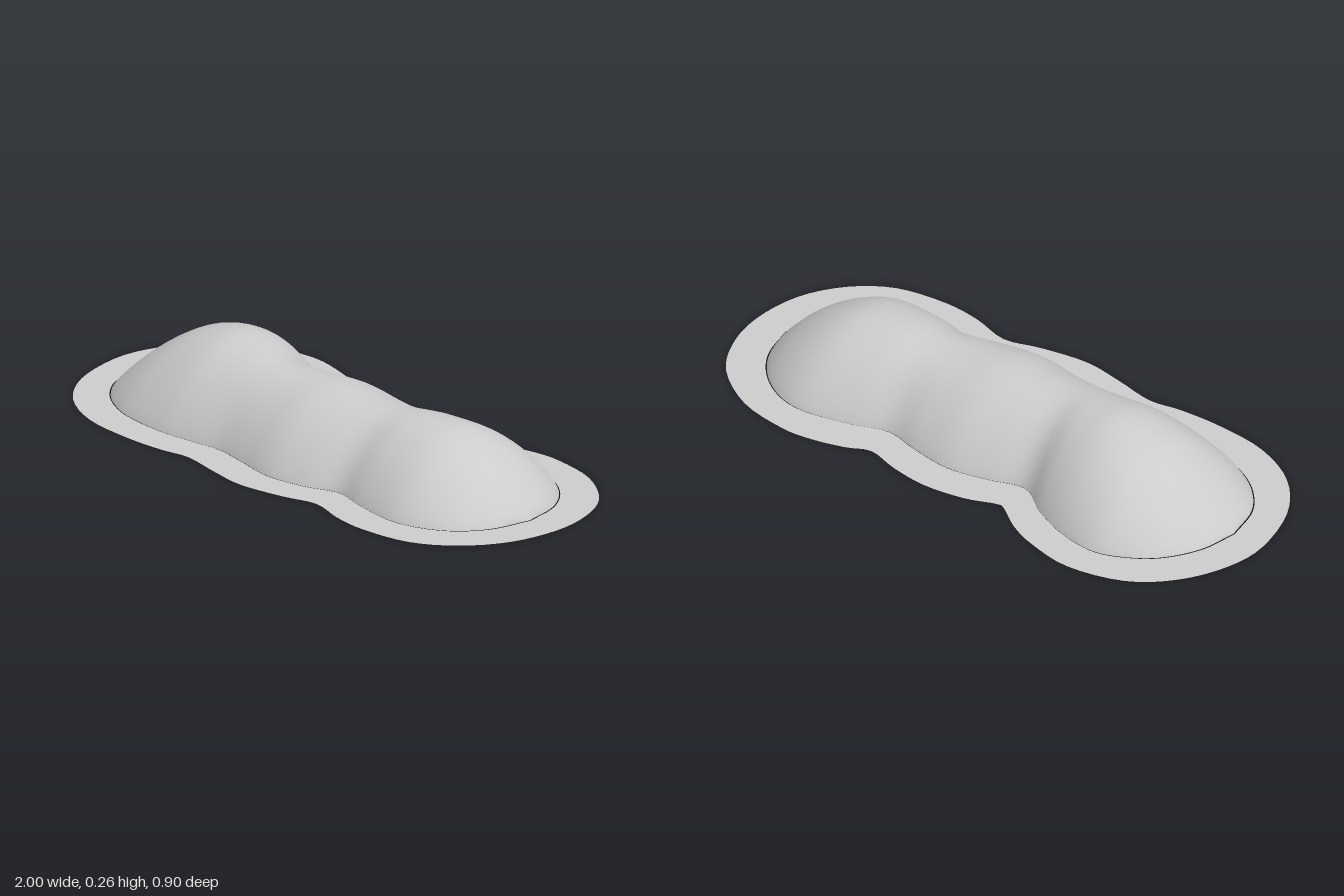
import * as THREE from 'three';

// Stations along the mound: x, front edge z, back edge z, ridge height
const stations = [
  [-0.885, 0, 0, 0], [-0.855, 0.13, -0.13, 0.035], [-0.78, 0.225, -0.245, 0.107],
  [-0.68, 0.285, -0.315, 0.18], [-0.58, 0.31, -0.345, 0.229], [-0.45, 0.318, -0.325, 0.256],
  [-0.33, 0.305, -0.275, 0.245], [-0.22, 0.292, -0.207, 0.228], [-0.1, 0.31, -0.24, 0.226],
  [0.04, 0.335, -0.268, 0.23], [0.18, 0.315, -0.25, 0.219], [0.3, 0.272, -0.226, 0.217],
  [0.42, 0.298, -0.265, 0.227], [0.57, 0.317, -0.299, 0.22], [0.68, 0.295, -0.285, 0.178],
  [0.78, 0.235, -0.222, 0.11], [0.85, 0.135, -0.125, 0.04], [0.88, 0, 0, 0],
];

// Outer edge of the flat rim as x, z
const rimEdge = [
  [-1, 0], [-0.98, -0.15], [-0.9, -0.3], [-0.77, -0.41], [-0.58, -0.457], [-0.42, -0.43],
  [-0.32, -0.39], [-0.235, -0.332], [-0.2, -0.327], [-0.1, -0.365], [0.04, -0.385],
  [0.17, -0.37], [0.28, -0.341], [0.36, -0.375], [0.47, -0.405], [0.58, -0.413],
  [0.75, -0.38], [0.9, -0.28], [0.975, -0.15], [1, 0], [0.97, 0.17], [0.88, 0.31],
  [0.75, 0.4], [0.58, 0.43], [0.45, 0.42], [0.32, 0.387], [0.2, 0.42], [0.04, 0.447],
  [-0.1, 0.43], [-0.24, 0.405], [-0.35, 0.423], [-0.5, 0.43], [-0.68, 0.41],
  [-0.84, 0.33], [-0.95, 0.19],
];

const spline = (points, closed = false) => new THREE.CatmullRomCurve3(points, closed, 'catmullrom', 0.5);
// These share their x values, so equal parameters give equal x
const front = spline(stations.map(([x, f, , h]) => new THREE.Vector3(x, h, f)));
const back = spline(stations.map(([x, , b, h]) => new THREE.Vector3(x, h, b)));

// Skin of arched cross-sections from tip to tip
function domeGeometry(rows = 102, cols = 36) {
  const positions = [], index = [];
  for (let i = 0; i <= rows; i++) {
    const f = front.getPoint(i / rows), b = back.getPoint(i / rows);
    for (let j = 0; j <= cols; j++) {
      const u = Math.sin((j / cols - 0.5) * Math.PI);
      const y = Math.max(0, f.y) * Math.pow(Math.max(0, 1 - u * u), 0.86);
      positions.push(f.x, y, (f.z + b.z) / 2 + u * (f.z - b.z) / 2);
      if (i < rows && j < cols) {
        const a = i * (cols + 1) + j, c = a + cols + 1;
        index.push(a, a + 1, c, a + 1, c + 1, c);
      }
    }
  }
  const geometry = new THREE.BufferGeometry();
  geometry.setAttribute('position', new THREE.Float32BufferAttribute(positions, 3));
  geometry.setIndex(index);
  geometry.computeVertexNormals();
  return geometry;
}

// Flat band whose hole follows the foot of the dome with a hairline gap
function rimGeometry() {
  const flat = (p, s = 1) => new THREE.Vector2(p.x * s, -p.z * s);
  const edge = spline(rimEdge.map(([x, z]) => new THREE.Vector3(x, 0, z)), true);
  const shape = new THREE.Shape(edge.getPoints(140).slice(0, -1).map((p) => flat(p)));
  const hole = [
    ...front.getPoints(102).slice(0, -1),
    ...back.getPoints(102).reverse().slice(0, -1),
  ];
  shape.holes.push(new THREE.Path(hole.map((p) => flat(p, 1.005))));
  return new THREE.ShapeGeometry(shape).rotateX(-Math.PI / 2);
}

export function createModel() {
  const group = new THREE.Group();
  const material = new THREE.MeshStandardMaterial({ color: 0xcccccc, side: THREE.DoubleSide });
  const add = (name, geometry) => {
    const mesh = new THREE.Mesh(geometry, material);
    mesh.name = name;
    group.add(mesh);
  };
  add('dome', domeGeometry());
  add('rim', rimGeometry());
  return group;
}
